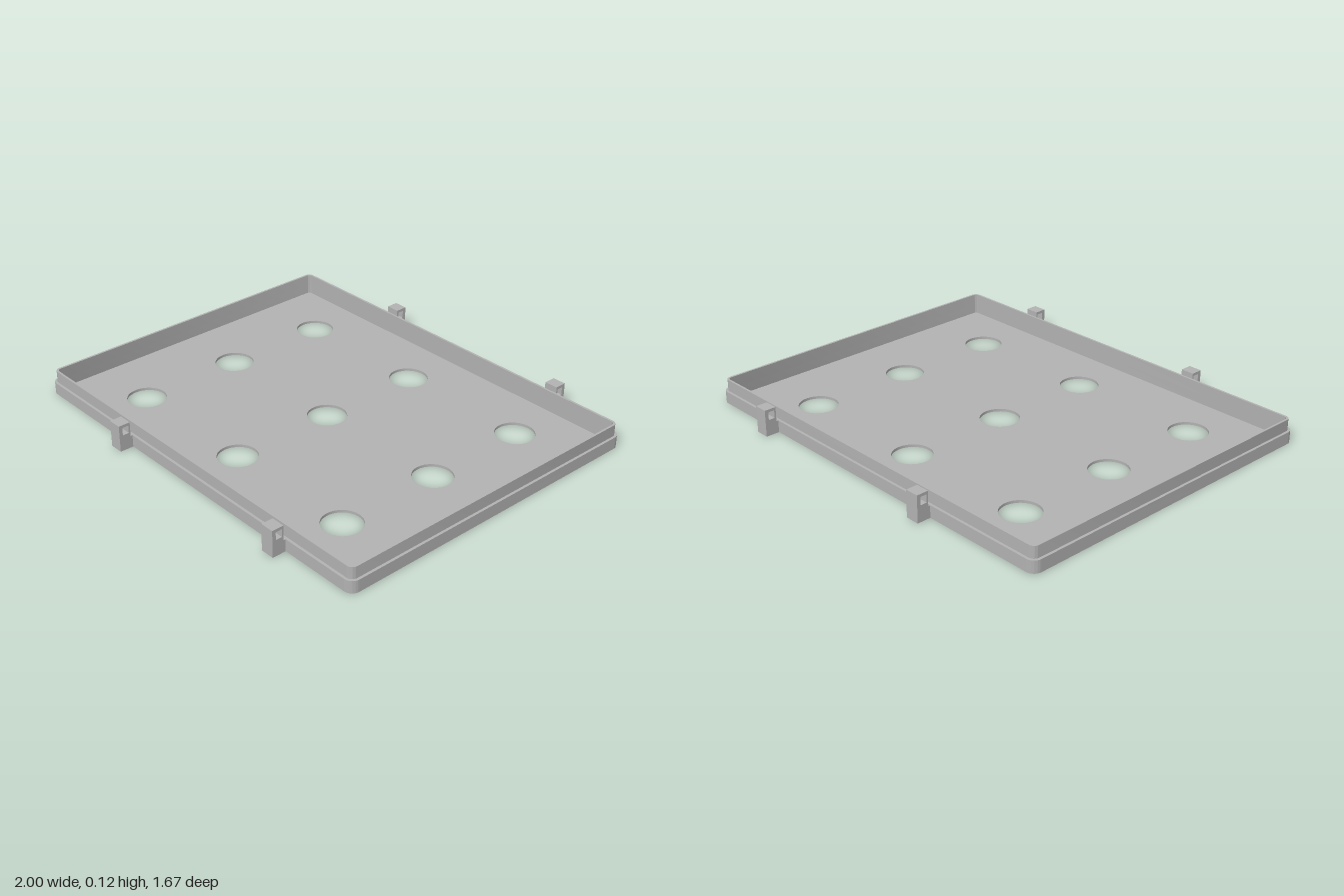
import * as THREE from 'three';
import { toCreasedNormals } from 'three/addons/utils/BufferGeometryUtils.js';

const FLOOR = 0.012, STEP = 0.056, RIM = 0.11;

// Rounded rectangle outline centred on the origin
function roundedRect(hx, hz, r, Type = THREE.Shape) {
  const s = new Type();
  s.absarc(hx - r, hz - r, r, 0, Math.PI / 2);
  s.absarc(-hx + r, hz - r, r, Math.PI / 2, Math.PI);
  s.absarc(-hx + r, -hz + r, r, Math.PI, Math.PI * 1.5);
  s.absarc(hx - r, -hz + r, r, Math.PI * 1.5, Math.PI * 2);
  s.closePath();
  return s;
}

// Extrude an outline upwards between two heights
function slab(shape, y0, y1) {
  const g = new THREE.ExtrudeGeometry(shape, { depth: y1 - y0, bevelEnabled: false, curveSegments: 16 });
  g.rotateX(-Math.PI / 2).translate(0, y0, 0);
  return toCreasedNormals(g, 0.6);
}

export function createModel() {
  const group = new THREE.Group();
  const grey = new THREE.MeshStandardMaterial({ color: 0xb2b2b2 });
  grey.name = 'grey';
  const add = (name, geometry) => {
    const mesh = new THREE.Mesh(geometry, grey);
    mesh.name = name;
    group.add(mesh);
    return mesh;
  };

  // Floor with a three by three grid of round holes
  const floor = roundedRect(1, 0.773, 0.04);
  for (const x of [-0.65, 0, 0.65]) {
    for (const z of [-0.5, 0, 0.5]) {
      const hole = new THREE.Path();
      hole.absarc(x, z, 0.089, 0, Math.PI * 2, true);
      floor.holes.push(hole);
    }
  }
  add('floor', slab(floor, 0, FLOOR));

  // Thick lower wall and thinner upper rim sharing one inner face
  const wall = (hx, hz, r) => {
    const s = roundedRect(hx, hz, r);
    s.holes.push(roundedRect(0.978, 0.751, 0.018, THREE.Path));
    return s;
  };
  add('lowerWall', slab(wall(1, 0.773, 0.04), FLOOR, STEP));
  add('upperRim', slab(wall(0.988, 0.761, 0.028), STEP, RIM));

  // Side loops: profile in z and y with a square eye, extruded along x
  const profile = new THREE.Shape([
    [0.771, 0], [0.837, 0], [0.837, 0.123], [0.782, 0.123], [0.782, STEP], [0.771, STEP],
  ].map(([z, y]) => new THREE.Vector2(z, y)));
  profile.holes.push(new THREE.Path([
    [0.79, 0.074], [0.79, 0.11], [0.82, 0.11], [0.82, 0.074],
  ].map(([z, y]) => new THREE.Vector2(z, y))));
  const loop = new THREE.ExtrudeGeometry(profile, { depth: 0.064, bevelEnabled: false });
  loop.translate(0, 0, -0.032).rotateY(-Math.PI / 2);
  for (const x of [-0.4, 0.6]) {
    add('frontLoop', loop).position.x = x;
    const back = add('backLoop', loop);
    back.position.x = x;
    back.rotation.y = Math.PI;
  }
  return group;
}
